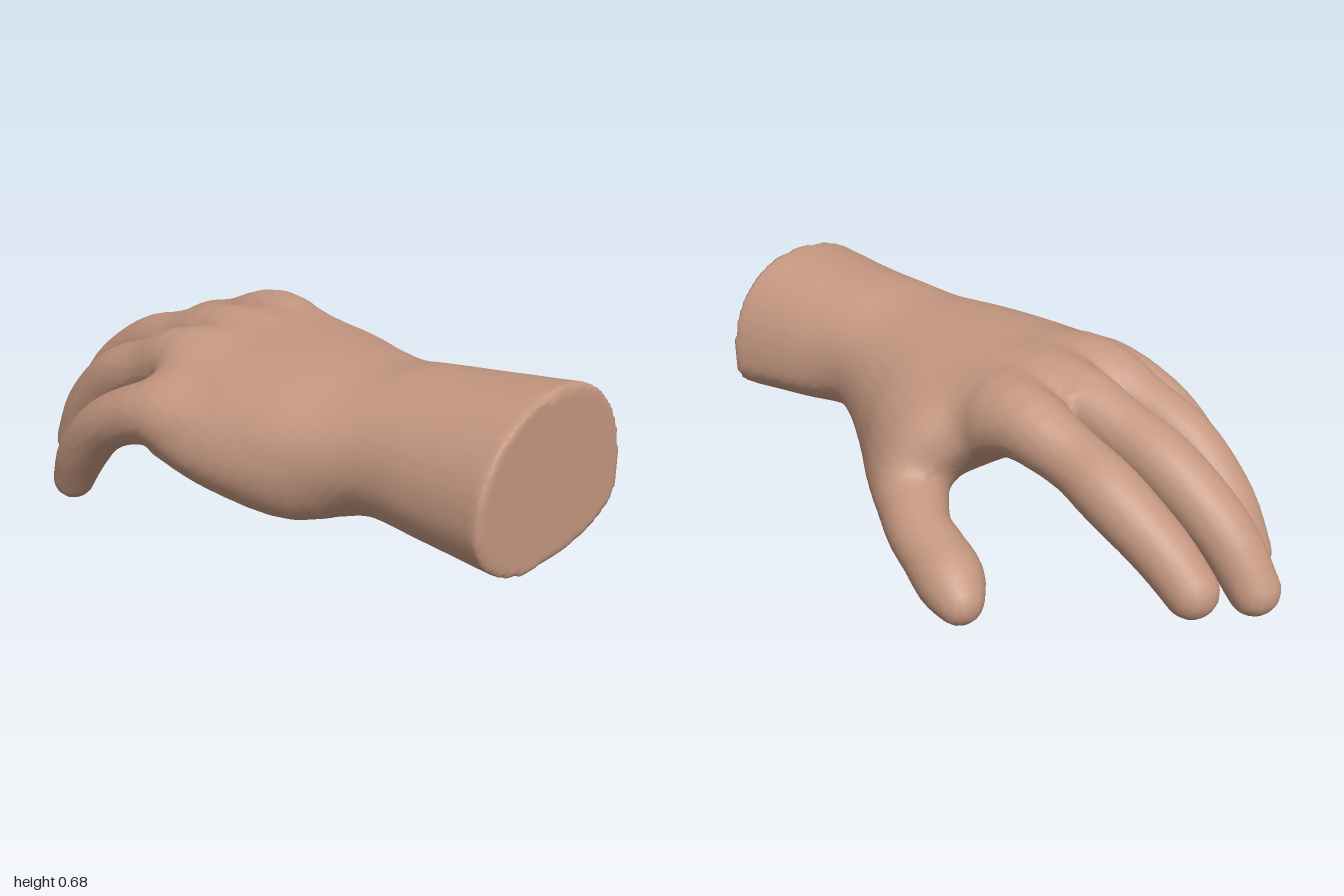
import * as THREE from 'three';

const skin = new THREE.MeshStandardMaterial({ color: 0xc49780 });
skin.name = 'skin';

const CELL = 0.016; // grid size of the sculpted surface
const BLEND = 0.06; // width of the soft join between limbs and palm
const ORIGIN = [-0.63, -0.05, -1.06];
const COUNT = [80, 50, 133];

// Palm sections: z, left, leftY, topX, top, right, rightY, bottomX, bottom
const palmSections = [
  [0.985, -0.355, 0.40, -0.01, 0.69, 0.295, 0.345, -0.05, 0.193],
  [0.75, -0.355, 0.40, -0.03, 0.663, 0.245, 0.37, -0.06, 0.208],
  [0.58, -0.36, 0.41, -0.06, 0.647, 0.205, 0.40, -0.07, 0.218],
  [0.45, -0.40, 0.40, -0.07, 0.628, 0.225, 0.37, -0.06, 0.205],
  [0.30, -0.46, 0.38, -0.08, 0.63, 0.295, 0.31, -0.04, 0.175],
  [0.15, -0.50, 0.37, -0.08, 0.632, 0.38, 0.28, -0.04, 0.185],
  [0.02, -0.52, 0.37, -0.06, 0.632, 0.41, 0.27, -0.06, 0.23],
  [-0.10, -0.51, 0.40, -0.03, 0.635, 0.28, 0.42, -0.06, 0.30],
  [-0.20, -0.41, 0.45, 0.00, 0.62, 0.25, 0.50, -0.04, 0.36],
  [-0.31, -0.18, 0.50, 0.00, 0.56, 0.19, 0.51, 0.00, 0.43],
];

// Digits and the fleshy heel of the palm: x, y, z, radius along each path
const limbPaths = {
  thumb: [
    [0.10, 0.32, 0.42, 0.08],
    [0.165, 0.25, 0.22, 0.133],
    [0.31, 0.25, 0.05, 0.117],
    [0.415, 0.217, -0.10, 0.098],
    [0.445, 0.185, -0.20, 0.098],
    [0.47, 0.155, -0.29, 0.10],
    [0.50, 0.132, -0.36, 0.072],
  ],
  indexFinger: [
    [0.12, 0.50, -0.02, 0.08],
    [0.145, 0.53, -0.24, 0.11],
    [0.14, 0.475, -0.45, 0.092],
    [0.15, 0.425, -0.60, 0.095],
    [0.14, 0.325, -0.77, 0.086],
    [0.135, 0.238, -0.878, 0.077],
  ],
  middleFinger: [
    [-0.06, 0.50, -0.02, 0.08],
    [-0.07, 0.53, -0.24, 0.107],
    [-0.08, 0.48, -0.45, 0.092],
    [-0.085, 0.42, -0.62, 0.094],
    [-0.095, 0.29, -0.81, 0.088],
    [-0.10, 0.15, -0.925, 0.076],
  ],
  ringFinger: [
    [-0.24, 0.47, 0.02, 0.08],
    [-0.27, 0.515, -0.18, 0.105],
    [-0.285, 0.46, -0.36, 0.09],
    [-0.30, 0.39, -0.52, 0.088],
    [-0.305, 0.25, -0.67, 0.085],
    [-0.306, 0.103, -0.757, 0.077],
  ],
  littleFinger: [
    [-0.39, 0.40, 0.08, 0.08],
    [-0.445, 0.42, -0.09, 0.099],
    [-0.475, 0.385, -0.23, 0.088],
    [-0.488, 0.31, -0.36, 0.082],
    [-0.48, 0.19, -0.48, 0.08],
    [-0.467, 0.068, -0.563, 0.067],
  ],
  heelOfPalm: [
    [-0.22, 0.36, 0.48, 0.09],
    [-0.30, 0.31, 0.32, 0.12],
    [-0.375, 0.345, 0.12, 0.12],
    [-0.41, 0.375, -0.08, 0.11],
  ],
};

// Smoothly resample rows of numbers, each column as a Catmull-Rom curve
function resample(rows, steps) {
  const out = [];
  const at = (i) => rows[Math.max(0, Math.min(rows.length - 1, i))];
  for (let i = 0; i < rows.length - 1; i++) {
    for (let s = 0; s < steps; s++) {
      const t = s / steps;
      out.push(rows[i].map((p1, k) => {
        const p0 = at(i - 1)[k], p2 = at(i + 1)[k], p3 = at(i + 2)[k];
        const v0 = (p2 - p0) / 2, v1 = (p3 - p1) / 2;
        return (2 * p1 - 2 * p2 + v0 + v1) * t ** 3 + (-3 * p1 + 3 * p2 - 2 * v0 - v1) * t * t + v0 * t + p1;
      }));
    }
  }
  out.push(rows[rows.length - 1]);
  return out;
}

// Outline of the palm at one z, through its right, top, left and bottom extremes
function palmOutline(rows, z) {
  let i = 0;
  while (i < rows.length - 2 && rows[i + 1][0] > z) i++;
  const f = THREE.MathUtils.clamp((rows[i][0] - z) / (rows[i][0] - rows[i + 1][0]), 0, 1);
  const [, left, leftY, topX, top, right, rightY, bottomX, bottom] = rows[i].map((v, k) => v + (rows[i + 1][k] - v) * f);
  return Array.from({ length: 40 }, (_, j) => {
    const a = (j / 40) * Math.PI * 2, c = Math.cos(a), s = Math.sin(a);
    const midX = s >= 0 ? topX : bottomX, midY = s >= 0 ? top : bottom;
    const sideX = c >= 0 ? right : left, sideY = c >= 0 ? rightY : leftY;
    return [midX + (sideX - midX) * Math.abs(c) ** 0.94, sideY + (midY - sideY) * Math.abs(s) ** 0.94];
  });
}

// Signed distance to a closed outline, negative inside
function outlineDistance(outline, x, y) {
  let best = Infinity, inside = false;
  outline.forEach(([ax, ay], i) => {
    const [bx, by] = outline[(i + 1) % outline.length];
    const ex = bx - ax, ey = by - ay, px = x - ax, py = y - ay;
    const t = Math.max(0, Math.min(1, (px * ex + py * ey) / (ex * ex + ey * ey)));
    best = Math.min(best, (px - ex * t) ** 2 + (py - ey * t) ** 2);
    if ((ay > y) !== (by > y) && x < ax + (ex * (y - ay)) / ey) inside = !inside;
  });
  return inside ? -Math.sqrt(best) : Math.sqrt(best);
}

// Signed distance to a chain of tapered round segments
function limbDistance(path, x, y, z) {
  let best = Infinity;
  for (let i = 0; i < path.length - 1; i++) {
    const a = path[i], b = path[i + 1];
    const ex = b[0] - a[0], ey = b[1] - a[1], ez = b[2] - a[2];
    const px = x - a[0], py = y - a[1], pz = z - a[2];
    const t = Math.max(0, Math.min(1, (px * ex + py * ey + pz * ez) / (ex * ex + ey * ey + ez * ez)));
    const dx = px - ex * t, dy = py - ey * t, dz = pz - ez * t;
    best = Math.min(best, Math.sqrt(dx * dx + dy * dy + dz * dz) - a[3] - (b[3] - a[3]) * t);
  }
  return best;
}

export function createModel() {
  const [nx, ny, nz] = COUNT, stride = [1, nx, nx * ny];
  const value = new Float32Array(nx * ny * nz), owner = new Uint8Array(nx * ny * nz);
  const rows = resample(palmSections, 4);
  const paths = Object.values(limbPaths).map((p) => resample(p, 4));
  const names = ['wristAndPalm', ...Object.keys(limbPaths)];
  const tipZ = rows[rows.length - 1][0];

  // Fill the grid: each limb blends into the palm, but not into its neighbours
  for (let k = 0, n = 0; k < nz; k++) {
    const z = ORIGIN[2] + k * CELL, outline = palmOutline(rows, z);
    for (let j = 0; j < ny; j++) {
      for (let i = 0; i < nx; i++, n++) {
        const x = ORIGIN[0] + i * CELL, y = ORIGIN[1] + j * CELL;
        const palm = Math.max(outlineDistance(outline, x, y), z + 0.04 * x - 0.985, tipZ - z);
        let nearest = palm;
        value[n] = palm;
        paths.forEach((path, p) => {
          const d = limbDistance(path, x, y, z);
          const h = Math.max(0, BLEND - Math.abs(d - palm)) / BLEND;
          value[n] = Math.min(value[n], Math.min(d, palm) - (h * h * BLEND) / 4);
          if (d < nearest) {
            nearest = d;
            owner[n] = p + 1;
          }
        });
      }
    }
  }

  // One vertex in each cell the skin crosses, and one quad for each crossed grid edge
  const positions = [], vertex = new Int32Array(value.length), faces = names.map(() => []);
  const crosses = (a, b) => value[a] < 0 !== value[b] < 0;
  for (let k = 0; k < nz - 1; k++) for (let j = 0; j < ny - 1; j++) for (let i = 0; i < nx - 1; i++) {
    const n = i + j * nx + k * stride[2], sum = [0, 0, 0];
    let hits = 0;
    for (let a = 0; a < 3; a++) for (let corner = 0; corner < 4; corner++) {
      const b = (a + 1) % 3, c = (a + 2) % 3, u = corner & 1, v = corner >> 1;
      const from = n + u * stride[b] + v * stride[c], to = from + stride[a];
      if (!crosses(from, to)) continue;
      sum[a] += value[from] / (value[from] - value[to]);
      sum[b] += u;
      sum[c] += v;
      hits++;
    }
    if (!hits) continue;
    vertex[n] = positions.length / 3;
    positions.push(...[i, j, k].map((g, a) => ORIGIN[a] + (g + sum[a] / hits) * CELL));
    for (let a = 0; a < 3; a++) {
      if (!crosses(n, n + stride[a])) continue;
      const sb = stride[(a + 1) % 3], sc = stride[(a + 2) % 3];
      const q = [n, n - sb, n - sb - sc, n - sc].map((cell) => vertex[cell]);
      if (value[n] >= 0) q.reverse();
      faces[owner[n]].push(q[0], q[1], q[2], q[0], q[2], q[3]);
    }
  }

  // Shared normals first, then one mesh per part
  const whole = new THREE.BufferGeometry();
  whole.setAttribute('position', new THREE.Float32BufferAttribute(positions, 3));
  whole.setIndex(faces.flat());
  whole.computeVertexNormals();
  const hand = new THREE.Group();
  hand.name = 'hand';
  names.forEach((name, p) => {
    whole.setIndex(faces[p]);
    const mesh = new THREE.Mesh(whole.toNonIndexed(), skin);
    mesh.name = name;
    hand.add(mesh);
  });
  return hand;
}
